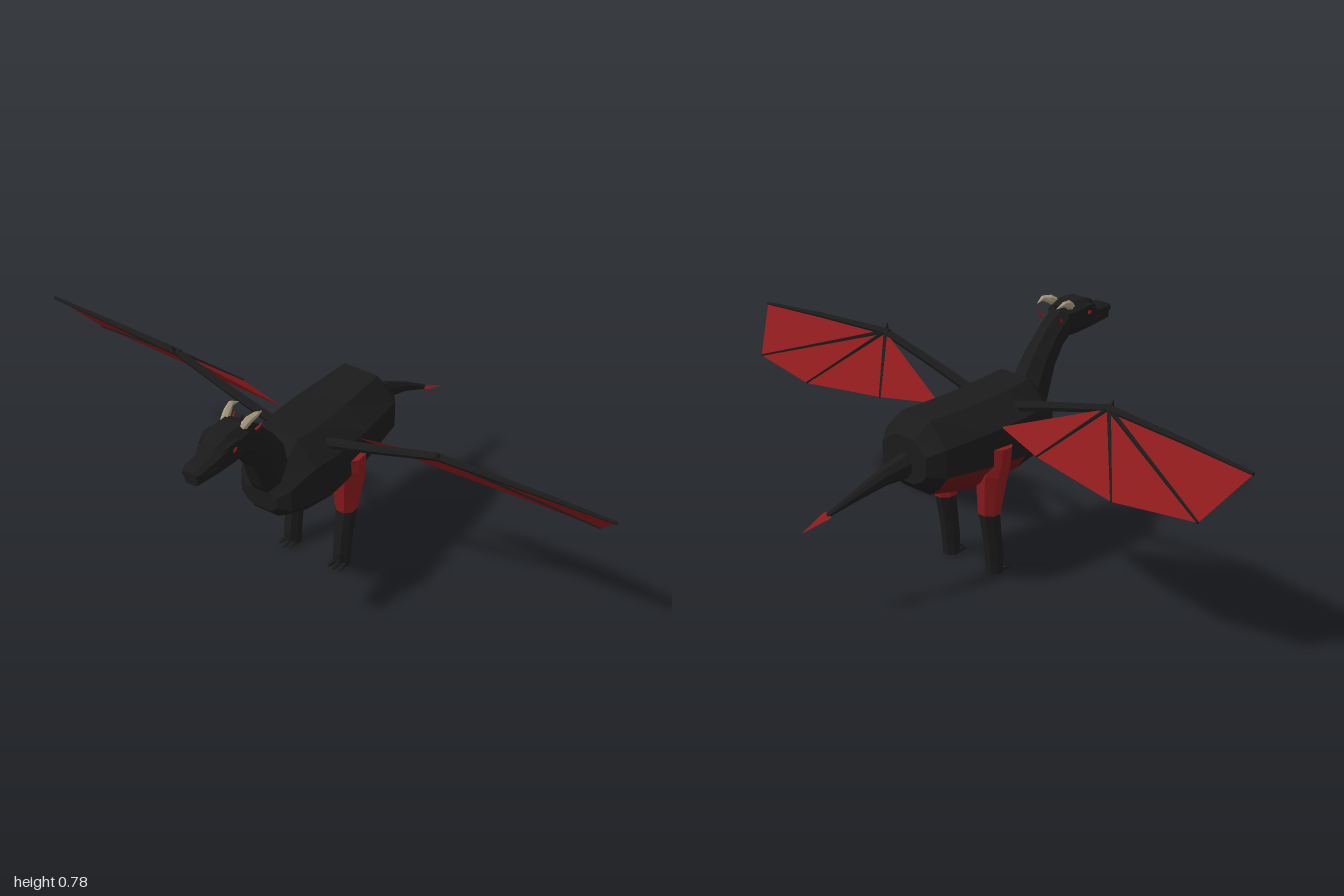
import * as THREE from 'three';

const material = (name, color, extra = {}) => {
  const m = new THREE.MeshStandardMaterial({ color, flatShading: true, ...extra });
  m.name = name;
  return m;
};

// Skin a list of equal-length rings (counter-clockwise about the travel direction).
// keep(segment, side) picks which faces are made.
function loft(rings, keep = () => true, caps = true) {
  const pos = [];
  const tri = (...p) => p.forEach((v) => pos.push(v.x, v.y, v.z));
  const n = rings[0].length;
  for (let s = 0; s < rings.length - 1; s++) {
    for (let i = 0; i < n; i++) {
      if (!keep(s, i)) continue;
      const j = (i + 1) % n;
      const [a, b, c, d] = [rings[s][i], rings[s][j], rings[s + 1][j], rings[s + 1][i]];
      tri(a, b, c);
      tri(a, c, d);
    }
  }
  if (caps) {
    const [first, last] = [rings[0], rings[rings.length - 1]];
    for (let i = 1; i < n - 1; i++) {
      tri(first[0], first[i + 1], first[i]);
      tri(last[0], last[i], last[i + 1]);
    }
  }
  const g = new THREE.BufferGeometry();
  g.setAttribute('position', new THREE.Float32BufferAttribute(pos, 3));
  g.computeVertexNormals();
  return g;
}

// Tapering limb through stations [x, y, z, radiusU, radiusV]; U follows the ref axis.
function limb(stations, sides = 8, ref = new THREE.Vector3(1, 0, 0), turn = 0.5) {
  const p = stations.map((s) => new THREE.Vector3(s[0], s[1], s[2]));
  return loft(stations.map((s, k) => {
    const d = p[Math.min(k + 1, p.length - 1)].clone().sub(p[Math.max(k - 1, 0)]).normalize();
    const u = ref.clone().addScaledVector(d, -ref.dot(d)).normalize();
    const v = d.clone().cross(u);
    return Array.from({ length: sides }, (_, i) => {
      const a = ((i + turn) / sides) * Math.PI * 2;
      return p[k].clone().addScaledVector(u, Math.cos(a) * s[3]).addScaledVector(v, Math.sin(a) * s[4]);
    });
  }));
}

// Ten-point symmetric section: [z, yBottom, yLow, yHigh, yTop, wBottom, wSide, wTop]
function section([z, yb, yl, yh, yt, wb, ws, wt]) {
  const wm = wb + (ws - wb) * 0.58, ym = yb + (yl - yb) * 0.42;
  return [[ws, yh], [wt, yt], [-wt, yt], [-ws, yh], [-ws, yl], [-wm, ym], [-wb, yb], [wb, yb], [wm, ym], [ws, yl]]
    .map(([x, y]) => new THREE.Vector3(x, y, z));
}

export function createModel() {
  const black = material('black scales', 0x1b1b1b);
  const red = material('red hide', 0x8b1a1c);
  const bellyRed = material('dark belly red', 0x641517);
  const membraneRed = material('red membrane', 0x8b1a1c, { side: THREE.DoubleSide });
  const bone = material('horn bone', 0xa89a7c);
  const eyeRed = material('eye red', 0xb01a14);

  const model = new THREE.Group();
  model.name = 'wingedBeast';
  const add = (parent, name, geometry, mat) => {
    const m = new THREE.Mesh(geometry, mat);
    m.name = name;
    parent.add(m);
    return m;
  };

  // Body, with the belly faces in red
  const bodyRings = [
    [-0.275, 0.375, 0.415, 0.475, 0.515, 0.04, 0.092, 0.04],
    [-0.225, 0.33, 0.405, 0.495, 0.567, 0.055, 0.127, 0.06],
    [-0.05, 0.292, 0.39, 0.5, 0.565, 0.06, 0.14, 0.062],
    [0.1, 0.296, 0.38, 0.505, 0.572, 0.058, 0.14, 0.062],
    [0.2, 0.315, 0.385, 0.508, 0.582, 0.05, 0.125, 0.058],
    [0.275, 0.345, 0.385, 0.46, 0.5, 0.042, 0.09, 0.05],
    [0.3, 0.375, 0.395, 0.43, 0.445, 0.03, 0.055, 0.03],
  ].map(section);
  const isBelly = (s, i) => ((s === 1 || s === 2) && i >= 4 && i <= 8) || (s === 3 && i >= 5 && i <= 7);
  add(model, 'body', loft(bodyRings, (s, i) => !isBelly(s, i)), black);
  add(model, 'belly', loft(bodyRings, isBelly, false), bellyRed);

  // Neck
  add(model, 'neck', limb([
    [0, 0.42, 0.2, 0.07, 0.08], [0, 0.505, 0.26, 0.062, 0.076], [0, 0.6, 0.31, 0.05, 0.062],
    [0, 0.667, 0.365, 0.043, 0.056], [0, 0.71, 0.42, 0.045, 0.055],
  ]), black);

  // Head: skull with upper snout, and a closed lower jaw
  add(model, 'head', loft([
    [0.395, 0.665, 0.685, 0.735, 0.755, 0.025, 0.042, 0.022],
    [0.42, 0.66, 0.685, 0.74, 0.765, 0.03, 0.052, 0.028],
    [0.49, 0.665, 0.69, 0.74, 0.765, 0.03, 0.052, 0.028],
    [0.528, 0.685, 0.695, 0.725, 0.748, 0.03, 0.042, 0.022],
    [0.545, 0.69, 0.697, 0.712, 0.723, 0.026, 0.033, 0.018],
    [0.6, 0.688, 0.694, 0.71, 0.72, 0.025, 0.032, 0.018],
    [0.62, 0.69, 0.695, 0.705, 0.711, 0.018, 0.024, 0.013],
  ].map(section)), black);
  add(model, 'jaw', loft([
    [0.43, 0.656, 0.665, 0.685, 0.697, 0.026, 0.04, 0.03],
    [0.53, 0.661, 0.667, 0.687, 0.696, 0.022, 0.033, 0.025],
    [0.613, 0.665, 0.67, 0.687, 0.694, 0.014, 0.022, 0.016],
  ].map(section)), black);
  add(model, 'neckSpike', limb([[0, 0.74, 0.4, 0.01, 0.015], [0, 0.757, 0.375, 0.001, 0.001]], 4), black);

  // Tail curving to its left, with a flat red barb
  add(model, 'tail', limb([
    [0, 0.425, -0.26, 0.034, 0.042], [0.002, 0.413, -0.36, 0.024, 0.028],
    [0.02, 0.376, -0.46, 0.015, 0.016], [0.044, 0.337, -0.54, 0.008, 0.007],
  ]), black);
  add(model, 'tailBarb', limb([
    [0.044, 0.339, -0.533, 0.017, 0.005], [0.047, 0.335, -0.542, 0.019, 0.006],
    [0.062, 0.303, -0.62, 0.001, 0.001],
  ], 4, undefined, 0), red);

  // Everything paired is built on the left (+x) and mirrored
  const up = new THREE.Vector3(0, 1, 0);
  const forward = new THREE.Vector3(0, 0, 1);
  for (const side of [1, -1]) {
    const half = new THREE.Group();
    half.name = side > 0 ? 'leftSide' : 'rightSide';
    half.scale.x = side;
    model.add(half);

    // Horn, brow, eye and ear
    add(half, 'horn', limb([
      [0.03, 0.75, 0.422, 0.011, 0.014], [0.037, 0.767, 0.395, 0.011, 0.014],
      [0.044, 0.774, 0.37, 0.008, 0.009], [0.04, 0.765, 0.34, 0.001, 0.001],
    ], 6), bone);
    add(half, 'brow', limb([
      [0.046, 0.742, 0.46, 0.007, 0.006], [0.045, 0.743, 0.49, 0.009, 0.009], [0.038, 0.735, 0.525, 0.003, 0.003],
    ], 5), black);
    const eye = add(half, 'eye', new THREE.BoxGeometry(0.006, 0.011, 0.014), eyeRed);
    eye.position.set(0.051, 0.724, 0.483);
    add(half, 'ear', limb([
      [0.038, 0.716, 0.368, 0.004, 0.006], [0.044, 0.724, 0.36, 0.004, 0.006], [0.047, 0.734, 0.35, 0.001, 0.001],
    ], 4), red);

    // Leg, from the ground up
    add(half, 'thigh', limb([
      [0.093, 0.215, -0.011, 0.038, 0.036], [0.097, 0.28, -0.01, 0.047, 0.042],
      [0.105, 0.355, -0.008, 0.058, 0.047], [0.116, 0.4, -0.002, 0.051, 0.043], [0.12, 0.442, 0, 0.05, 0.039],
    ], 8, forward), red);
    add(half, 'shin', limb([
      [0.094, 0.003, 0.012, 0.028, 0.028], [0.094, 0.05, 0.012, 0.032, 0.028],
      [0.094, 0.13, 0.002, 0.032, 0.029], [0.094, 0.218, -0.012, 0.035, 0.034],
    ], 8, forward), black);
    for (const t of [-1, 0, 1]) {
      add(half, 'toe', limb([
        [0.094 + t * 0.015, 0.012, 0.02, 0.01, 0.011], [0.094 + t * 0.02, 0.012, 0.045, 0.008, 0.007],
        [0.094 + t * 0.022, 0.007, 0.066 - Math.abs(t) * 0.006, 0.001, 0.002],
      ], 5), black);
    }

    // Wing: arm, forearm, elbow claw, membrane and its fingers
    const wing = new THREE.Group();
    wing.name = 'wing';
    half.add(wing);
    const elbow = [0.465, 0.63, 0.09], tip = [1, 0.61, 0.045], root = [0.13, 0.502, 0];
    add(wing, 'upperArm', limb([
      [0.08, 0.525, 0.102, 0.018, 0.014], [0.25, 0.572, 0.1, 0.015, 0.013], [...elbow, 0.012, 0.012],
    ], 6, up), black);
    add(wing, 'forearm', limb([
      [0.45, 0.63, 0.092, 0.012, 0.012], [0.75, 0.622, 0.068, 0.009, 0.009], [...tip, 0.005, 0.005],
    ], 6, up), black);
    add(wing, 'elbowClaw', limb([
      [0.468, 0.632, 0.095, 0.009, 0.009], [0.47, 0.655, 0.104, 0.001, 0.001],
    ], 4), black);

    // Upper skin fans out from the elbow; lower skin fans out from the root
    const trailing = [[0.91, 0.475, -0.065], [0.64, 0.459, -0.1], [0.33, 0.487, -0.065]];
    const skin = (hub, rim) => {
      const fan = [];
      for (let i = 0; i < rim.length - 1; i++) fan.push(...hub, ...rim[i], ...rim[i + 1]);
      const g = new THREE.BufferGeometry();
      g.setAttribute('position', new THREE.Float32BufferAttribute(fan, 3));
      g.computeVertexNormals();
      return g;
    };
    add(wing, 'upperMembrane', skin(elbow, [tip, ...trailing, root].reverse()), membraneRed);
    add(wing, 'lowerMembrane', skin(root, [elbow, tip, ...trailing]), membraneRed);
    for (const end of trailing) {
      add(wing, 'finger', limb([[...elbow, 0.008, 0.008], [...end, 0.004, 0.004]], 4, up), black);
    }
  }
  return model;
}
